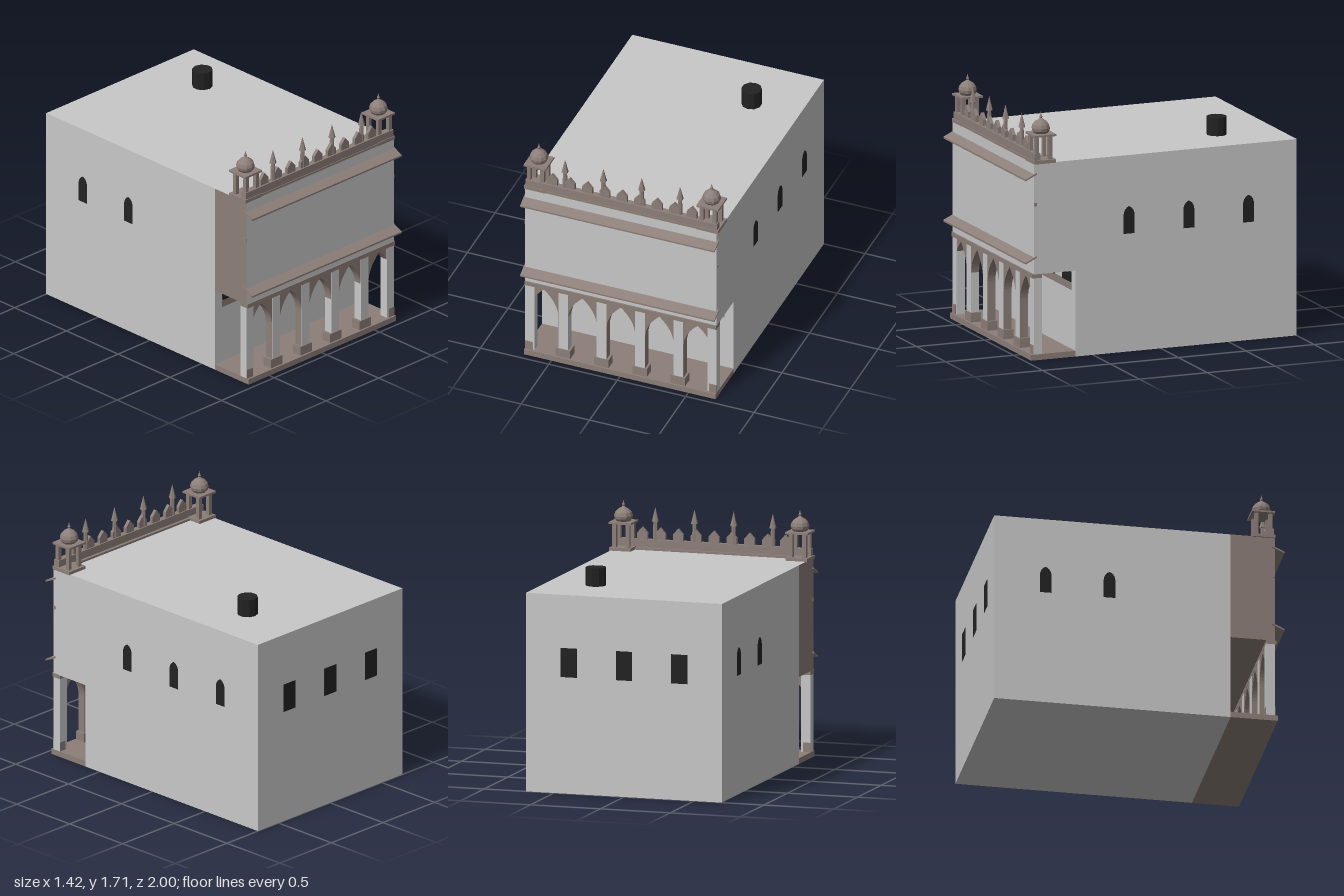
import * as THREE from 'three';

export function createModel() {
  const model = new THREE.Group();
  const mat = (name, color) => {
    const m = new THREE.MeshStandardMaterial({ color });
    m.name = name;
    return m;
  };
  const plaster = mat('pale plaster', 0xc8c8c8);
  const stone = mat('brown stone', 0x8d7f79);
  const dark = mat('dark glass', 0x222222);

  const add = (name, geo, material, parent = model) => {
    const mesh = new THREE.Mesh(geo, material);
    mesh.name = name;
    parent.add(mesh);
    return mesh;
  };
  // Box given by its minimum and maximum on each axis
  const box = (name, x0, x1, y0, y1, z0, z1, material, parent) => {
    const mesh = add(name, new THREE.BoxGeometry(x1 - x0, y1 - y0, z1 - z0), material, parent);
    mesh.position.set((x0 + x1) / 2, (y0 + y1) / 2, (z0 + z1) / 2);
    return mesh;
  };
  const extrude = (shape, depth, curveSegments = 8) =>
    new THREE.ExtrudeGeometry(shape, { depth, bevelEnabled: false, curveSegments });
  const flat = (geo) => {
    const g = geo.toNonIndexed();
    g.computeVertexNormals();
    return g;
  };

  // Main hall, and the upper storey carried over the porch
  box('mainHall', -0.7, 0.7, 0, 1.365, -1, 0.63, plaster);
  box('upperFront', -0.7, 0.7, 0.597, 1.365, 0.63, 0.935,
    [plaster, stone, plaster, stone, plaster, plaster]);

  // Porch floor and beam
  box('porchFloor', -0.7, 0.7, 0, 0.04, 0.63, 0.955, stone);
  box('porchBeam', -0.7, 0.7, 0.57, 0.6, 0.875, 0.945, stone);

  // Pointed arcade
  const w = 0.104;
  const arcade = new THREE.Shape();
  arcade.moveTo(-0.699, 0.04);
  for (let i = -2; i <= 2; i++) {
    const c = i * 0.281;
    arcade.lineTo(c - w, 0.04);
    arcade.lineTo(c - w, 0.36);
    arcade.quadraticCurveTo(c - w, 0.47, c, 0.56);
    arcade.quadraticCurveTo(c + w, 0.47, c + w, 0.36);
    arcade.lineTo(c + w, 0.04);
  }
  arcade.lineTo(0.699, 0.04);
  arcade.lineTo(0.699, 0.57);
  arcade.lineTo(-0.699, 0.57);
  add('arcade', extrude(arcade, 0.058, 10), stone).position.z = 0.876;

  // Pillars and their bases
  for (const s of [-1, 1]) {
    const span = (a, b) => [Math.min(s * a, s * b), Math.max(s * a, s * b)];
    box('endPillar', ...span(0.632, 0.7), 0.04, 0.57, 0.875, 0.936, plaster);
    box('endPillarBase', ...span(0.645, 0.699), 0.04, 0.105, 0.874, 0.941, stone);
    for (const c of [0.14, 0.42]) {
      box('pillar', s * c - 0.036, s * c + 0.036, 0.04, 0.57, 0.875, 0.936, plaster);
      box('pillarBase', s * c - 0.053, s * c + 0.053, 0.04, 0.105, 0.868, 0.942, stone);
    }
  }

  // Lintel strip and vents on the wall behind the arcade
  box('lintelStrip', -0.635, 0.635, 0.45, 0.505, 0.63, 0.633, stone);
  for (let i = -2; i <= 2; i++) {
    box('vent', i * 0.281 - 0.07, i * 0.281 + 0.07, 0.505, 0.575, 0.63, 0.639, dark);
  }

  // Sloping eaves
  const eave = new THREE.Shape([
    [0.915, 0.032], [1, -0.008], [1, 0.004], [0.915, 0.044],
  ].map(([z, y]) => new THREE.Vector2(-z, y)));
  for (const y of [0.682, 1.26]) {
    const e = add('eave', extrude(eave, 1.42), stone);
    e.rotation.y = Math.PI / 2;
    e.position.set(-0.71, y, 0);
  }
  box('stringCourse', -0.704, 0.704, 1.07, 1.094, 0.915, 0.934, stone);

  // Parapet with pointed merlons
  box('cornice', -0.7, 0.7, 1.365, 1.38, 0.865, 0.935, stone);
  box('parapet', -0.7, 0.7, 1.38, 1.435, 0.885, 0.93, stone);
  const merlon = new THREE.Shape([
    [-0.037, 0], [0.037, 0], [0.037, 0.045], [0, 0.087], [-0.037, 0.045],
  ].map(([x, y]) => new THREE.Vector2(x, y)));
  const merlonGeo = extrude(merlon, 0.024);
  for (let i = -4; i <= 4; i++) {
    add('merlon', merlonGeo, stone).position.set(i * 0.1275, 1.433, 0.894);
  }

  // Spires along the parapet
  const postGeo = flat(new THREE.CylinderGeometry(0.014, 0.02, 0.19, 6));
  const tipGeo = flat(new THREE.ConeGeometry(0.025, 0.1, 6));
  for (const x of [-0.42, -0.14, 0.14, 0.42]) {
    add('spirePost', postGeo, stone).position.set(x, 1.467, 0.905);
    add('spireTip', tipGeo, stone).position.set(x, 1.61, 0.905);
  }

  // Domed corner kiosks
  const domeGeo = flat(new THREE.LatheGeometry([
    [0.046, 1.56], [0.06, 1.578], [0.064, 1.598], [0.057, 1.622], [0.038, 1.643],
    [0.016, 1.656], [0.007, 1.664], [0.011, 1.674], [0.006, 1.684], [0, 1.708],
  ].map(([r, y]) => new THREE.Vector2(r, y)), 10));
  for (const s of [-1, 1]) {
    const kiosk = new THREE.Group();
    kiosk.name = 'cornerKiosk';
    kiosk.position.set(s * 0.631, 0, 0.855);
    model.add(kiosk);
    box('kioskBase', -0.078, 0.078, 1.362, 1.386, -0.08, 0.081, stone, kiosk);
    for (const x of [-0.048, 0.048]) {
      for (const z of [-0.044, 0.052]) {
        box('kioskColumn', x - 0.014, x + 0.014, 1.38, 1.55, z - 0.014, z + 0.014, stone, kiosk);
      }
    }
    box('kioskRoof', -0.08, 0.08, 1.547, 1.561, -0.08, 0.08, stone, kiosk);
    add('kioskDome', domeGeo, stone, kiosk);
  }

  // Arched side windows
  const arch = new THREE.Shape();
  arch.moveTo(-0.04, 0.82);
  arch.lineTo(0.04, 0.82);
  arch.lineTo(0.04, 0.95);
  arch.quadraticCurveTo(0.036, 0.995, 0, 1.01);
  arch.quadraticCurveTo(-0.036, 0.995, -0.04, 0.95);
  const archGeo = extrude(arch, 0.004, 5);
  const sideWindow = (s, z) => {
    const win = add('sideWindow', archGeo, dark);
    win.rotation.y = s * Math.PI / 2;
    win.position.set(s * 0.699, 0, z);
  };
  [0.235, -0.205, -0.645].forEach((z) => sideWindow(1, z));
  [-0.205, -0.645].forEach((z) => sideWindow(-1, z));

  // Rear windows
  for (const x of [-0.395, 0, 0.395]) {
    box('rearWindow', x - 0.058, x + 0.058, 0.8, 1, -1.002, -0.998, dark);
  }

  // Roof tank
  add('roofTank', flat(new THREE.CylinderGeometry(0.07, 0.07, 0.125, 10)), dark)
    .position.set(0.35, 1.4275, -0.56);

  return model;
}
